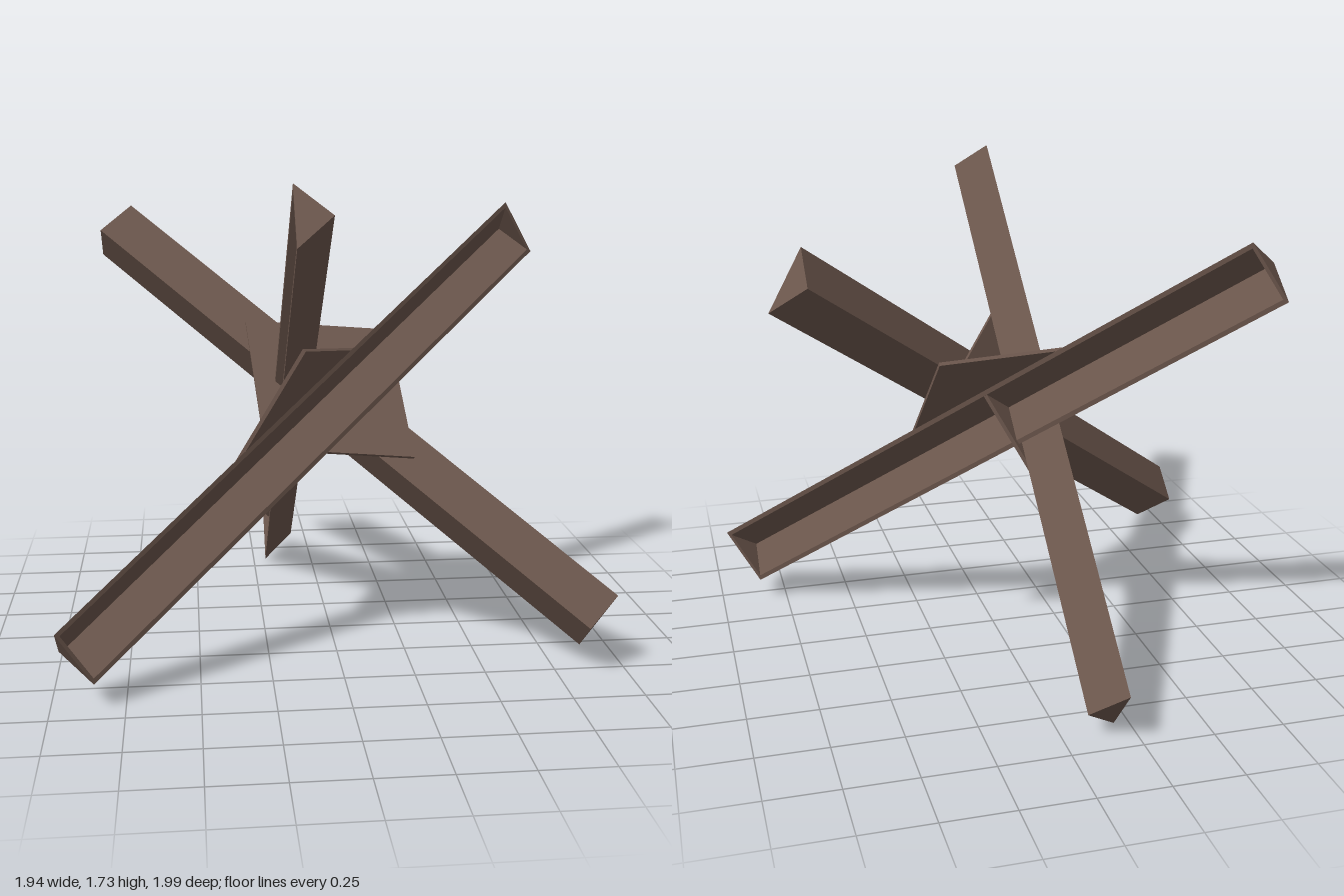
import * as THREE from 'three';
import { mergeGeometries } from 'three/addons/utils/BufferGeometryUtils.js';

const LENGTH = 2.405, LEG = 0.167, WALL = 0.012;

// Three mutually perpendicular beam directions
const S = Math.SQRT1_2;
const A = new THREE.Vector3(0, 0.644, 0.765).normalize();
const U = new THREE.Vector3(0, A.z, -A.y);
const B = new THREE.Vector3(-S, U.y * S, U.z * S);
const C = new THREE.Vector3(S, U.y * S, U.z * S);

function extrude(points, depth, z) {
  const shape = new THREE.Shape(points.map(([x, y]) => new THREE.Vector2(x, y)));
  const g = new THREE.ExtrudeGeometry(shape, { depth, bevelEnabled: false });
  return g.translate(0, 0, z);
}

// Angle section along z with its corner on the axis and thin closed ends
function beamGeometry() {
  const h = LENGTH / 2;
  const angle = [[0, 0], [LEG, 0], [LEG - WALL, WALL], [WALL, WALL], [WALL, LEG - WALL], [0, LEG]];
  const cap = [[0, 0], [LEG, 0], [0, LEG]];
  return mergeGeometries([
    extrude(angle, LENGTH - 2 * WALL, -h + WALL),
    extrude(cap, WALL, -h),
    extrude(cap, WALL, h - WALL),
  ]);
}

export function createModel() {
  const group = new THREE.Group();
  const steel = new THREE.MeshStandardMaterial({ color: 0x6b564c });
  steel.name = 'rusty brown steel';

  // Places a geometry by its axes and its offsets along A, B and C
  const add = (name, geometry, axes, [a, b, c]) => {
    const mesh = new THREE.Mesh(geometry, steel);
    mesh.name = name;
    mesh.quaternion.setFromRotationMatrix(new THREE.Matrix4().makeBasis(...axes));
    mesh.position.addScaledVector(A, a).addScaledVector(B, b).addScaledVector(C, c);
    group.add(mesh);
  };
  const neg = (v) => v.clone().negate();

  // Crossed beams
  const beam = beamGeometry();
  add('frontBackBeam', beam, [B, neg(C), A], [0.557, 0.525, 0.411]);
  add('rightLeaningBeam', beam, [C, neg(A), B], [0.561, 0.433, 0.433]);
  add('leftLeaningBeam', beam, [A, neg(B), C], [0.575, 0.51, 0.34]);

  // Diamond gusset plates sandwiched between the beams
  const diamond = (x, y) => extrude([[x, 0], [0, y], [-x, 0], [0, -y]], 0.014, 0);
  add('upperGusset', diamond(0.42, 0.35), [A, C, B], [0.66, 0.51, 0.33]);
  add('lowerGusset', diamond(0.35, 0.42), [C, B, A], [0.561, 0.52, 0.516]);

  return group;
}
